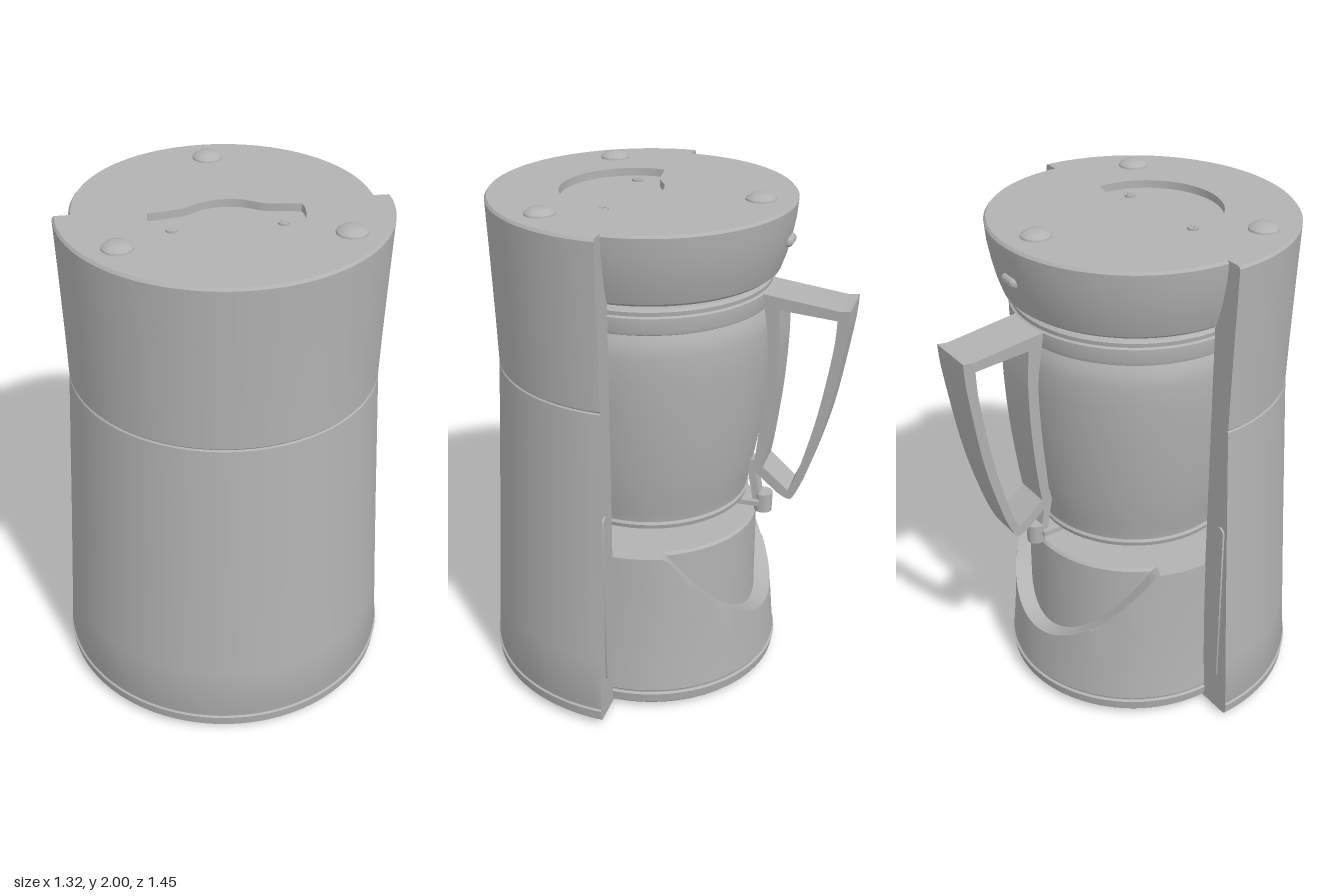
import * as THREE from 'three';
import { toCreasedNormals } from 'three/addons/utils/BufferGeometryUtils.js';

const grey = new THREE.MeshStandardMaterial({ color: 0xb2b2b2, side: THREE.DoubleSide });
grey.name = 'warm grey plastic';

const vecs = (pts) => pts.map(([x, y]) => new THREE.Vector2(x, y));

export function createModel() {
  const model = new THREE.Group();
  model.name = 'coffeeMaker';
  // Everything round shares one vertical axis
  const core = new THREE.Group();
  core.name = 'body';
  core.position.z = 0.06;
  model.add(core);

  function add(name, geo, x = 0, y = 0, z = 0, parent = core) {
    const mesh = new THREE.Mesh(toCreasedNormals(geo, 0.5), grey);
    mesh.name = name;
    mesh.position.set(x, y, z);
    parent.add(mesh);
    return mesh;
  }
  const FRONT = [-Math.PI / 2, Math.PI];
  const BACK = [Math.PI / 2, Math.PI];
  const FULL = [0, Math.PI * 2];
  const lathe = (pts, [start, len] = FULL) => new THREE.LatheGeometry(vecs(pts), 72, start, len);

  // Front half shell with base rim and waist seam
  const shellProfile = [
    [0.645, 0.02], [0.655, 0.03], [0.66, 0.07], [0.653, 0.075], [0.653, 0.08], [0.655, 0.085],
    [0.642, 0.3], [0.62, 0.7], [0.602, 1.05], [0.588, 1.322], [0.583, 1.328], [0.588, 1.334],
    [0.592, 1.5], [0.6, 1.75], [0.608, 1.965], [0.6, 1.975],
  ];
  add('frontShell', lathe([[0, 0.02], ...shellProfile], FRONT));

  // Niche that holds the jug
  add('niche', lathe([[0, 0.67], [0.5, 0.67], [0.5, 1.7], [0, 1.7]], FRONT));

  // Flat rear edges of the shell, each with a long narrow slot cover
  const flange = new THREE.Shape(vecs([[0.49, 0.02], ...shellProfile, [0.49, 1.975]]));
  const slot = new THREE.Shape();
  slot.absarc(0, 0.34, 0.022, 0, Math.PI, false);
  slot.absarc(0, -0.34, 0.022, Math.PI, Math.PI * 2, false);
  for (const side of [1, -1]) {
    const edge = add(side > 0 ? 'leftShellEdge' : 'rightShellEdge', new THREE.ShapeGeometry(flange));
    edge.scale.x = side;
    add('edgeSlot', new THREE.ExtrudeGeometry(slot, { depth: 0.008, bevelEnabled: false }),
      side * 0.575, 0.54, -0.008);
  }

  // Rear base wall, its top cut along a slope
  const base = lathe([
    [0, 0.02], [0.505, 0.02], [0.515, 0.03], [0.522, 0.07], [0.513, 0.075], [0.513, 0.08], [0.516, 0.085],
    [0.505, 0.22], [0.498, 0.4], [0.494, 0.55], [0.492, 0.68], [0.43, 0.68],
  ], BACK);
  const p = base.attributes.position;
  for (let i = 0; i < p.count; i++) {
    const r = Math.hypot(p.getX(i), p.getZ(i));
    if (r < 0.01) continue;
    const back = -p.getZ(i) / r * 0.5;
    p.setY(i, Math.min(p.getY(i), 0.68 - (back - 0.2) * 1.333));
  }
  add('baseWall', base);
  add('baseDrum', lathe([[0.43, 0.03], [0.43, 0.66], [0.42, 0.67], [0, 0.67]]));

  // Head overhanging the jug
  add('head', lathe([
    [0, 1.7], [0.48, 1.7], [0.495, 1.712], [0.515, 1.77], [0.53, 1.83], [0.543, 1.9],
    [0.549, 1.965], [0.541, 1.975],
  ], BACK));
  const button = new THREE.CapsuleGeometry(0.02, 0.05, 6, 16).rotateZ(Math.PI / 2);
  add('headButton', button, 0, 1.835, -0.53);

  // Top plate with a shallow recess
  const plate = new THREE.Shape();
  plate.absarc(0, 0, 0.6, Math.PI, Math.PI * 2, false);
  plate.lineTo(0.541, 0);
  plate.absarc(0, 0, 0.541, 0, Math.PI, false);
  const recess = new THREE.Path();
  recess.moveTo(-0.275, -0.03);
  recess.lineTo(-0.16, -0.012);
  recess.splineThru(vecs([[-0.13, 0], [-0.07, 0.034], [0, 0.046], [0.07, 0.034], [0.13, 0], [0.16, -0.012]]));
  recess.lineTo(0.275, -0.03);
  recess.absarc(0, -0.06, 0.28, 0, -Math.PI, true);
  plate.holes.push(recess);
  add('topPlate', new THREE.ExtrudeGeometry(plate, { depth: 0.035, bevelEnabled: false, curveSegments: 40 })
    .rotateX(-Math.PI / 2), 0, 1.94);
  add('recessFloor', new THREE.CircleGeometry(0.38, 48).rotateX(-Math.PI / 2), 0, 1.945, 0.1);
  for (const x of [-0.2, 0.195]) {
    add('recessScrew', new THREE.CylinderGeometry(0.021, 0.021, 0.008, 20), x, 1.949, 0.115);
    for (const a of [0, Math.PI / 2]) {
      add('screwCross', new THREE.BoxGeometry(0.026, 0.003, 0.006).rotateY(a), x, 1.954, 0.115);
    }
  }
  for (const [x, z] of [[0, -0.42], [-0.4, 0.275], [0.4, 0.275]]) {
    add('topFoot', lathe([[0.057, 0], [0.055, 0.008], [0.04, 0.02], [0.02, 0.025], [0, 0.026]]), x, 1.974, z);
  }

  // Underside dial with grip bar and arc marks around it
  add('dial', lathe([[0.11, 0.022], [0.108, 0.012], [0.095, 0.008], [0, 0.008]]), 0, 0, -0.29);
  add('dialGrip', new THREE.BoxGeometry(0.035, 0.01, 0.18), 0, 0.005, -0.29);
  for (let i = 0; i < 5; i++) {
    add('dialMark', new THREE.RingGeometry(0.175, 0.187, 12, 1, Math.PI * (0.05 + i * 0.2), 0.36)
      .rotateX(Math.PI / 2), 0, 0.017, -0.29);
  }

  // Jug
  const jug = new THREE.Group();
  jug.name = 'jug';
  core.add(jug);
  add('jugBody', lathe([
    [0, 0.765], [0.34, 0.765], [0.36, 0.755], [0.39, 0.757], [0.395, 0.775], [0.388, 0.785], [0.392, 0.81],
    [0.405, 0.86], [0.425, 0.97], [0.448, 1.12], [0.465, 1.27], [0.476, 1.4], [0.479, 1.5],
    [0.474, 1.545], [0.462, 1.572], [0.458, 1.582], [0.468, 1.587], [0.472, 1.6], [0.472, 1.65],
    [0.465, 1.656], [0.467, 1.672], [0.458, 1.682], [0, 1.682],
  ]), 0, 0, 0, jug);
  add('jugHub', new THREE.CylinderGeometry(0.085, 0.075, 0.045, 32), 0, 0.745, 0, jug);

  // Looped handle, narrowing downwards
  const loop = new THREE.Shape();
  loop.moveTo(0.46, 1.652);
  loop.lineTo(0.745, 1.615);
  loop.lineTo(0.785, 1.62);
  loop.splineThru(vecs([[0.774, 1.5], [0.722, 1.19], [0.656, 0.95], [0.606, 0.825], [0.58, 0.803], [0.537, 0.825]]));
  loop.lineTo(0.44, 0.91);
  loop.splineThru(vecs([[0.455, 1.05], [0.475, 1.25], [0.484, 1.45], [0.46, 1.652]]));
  const gap = new THREE.Path();
  gap.moveTo(0.522, 1.595);
  gap.lineTo(0.738, 1.577);
  gap.splineThru(vecs([[0.728, 1.45], [0.683, 1.19], [0.622, 0.95], [0.58, 0.84]]));
  gap.lineTo(0.478, 0.93);
  gap.splineThru(vecs([[0.496, 1.05], [0.518, 1.25], [0.528, 1.45], [0.522, 1.595]]));
  loop.holes.push(gap);
  const grip = new THREE.ExtrudeGeometry(loop, { depth: 0.19, bevelEnabled: false, curveSegments: 32 })
    .translate(0, 0, -0.095).rotateY(Math.PI / 2);
  const g = grip.attributes.position;
  for (let i = 0; i < g.count; i++) g.setX(i, g.getX(i) * (0.72 + 0.28 * (g.getY(i) - 0.8) / 0.82));
  add('handle', grip, 0, 0, 0, jug);

  // Stem, pivot knob and spout lever under the handle
  add('handleStem', new THREE.BoxGeometry(0.06, 0.18, 0.03).rotateX(0.18), 0, 0.84, -0.432, jug);
  add('pivotKnob', new THREE.CylinderGeometry(0.037, 0.035, 0.08, 24), 0, 0.742, -0.469, jug);
  add('lever', new THREE.BoxGeometry(0.1, 0.02, 0.22), 0, 0.747, -0.35, jug);

  return model;
}
